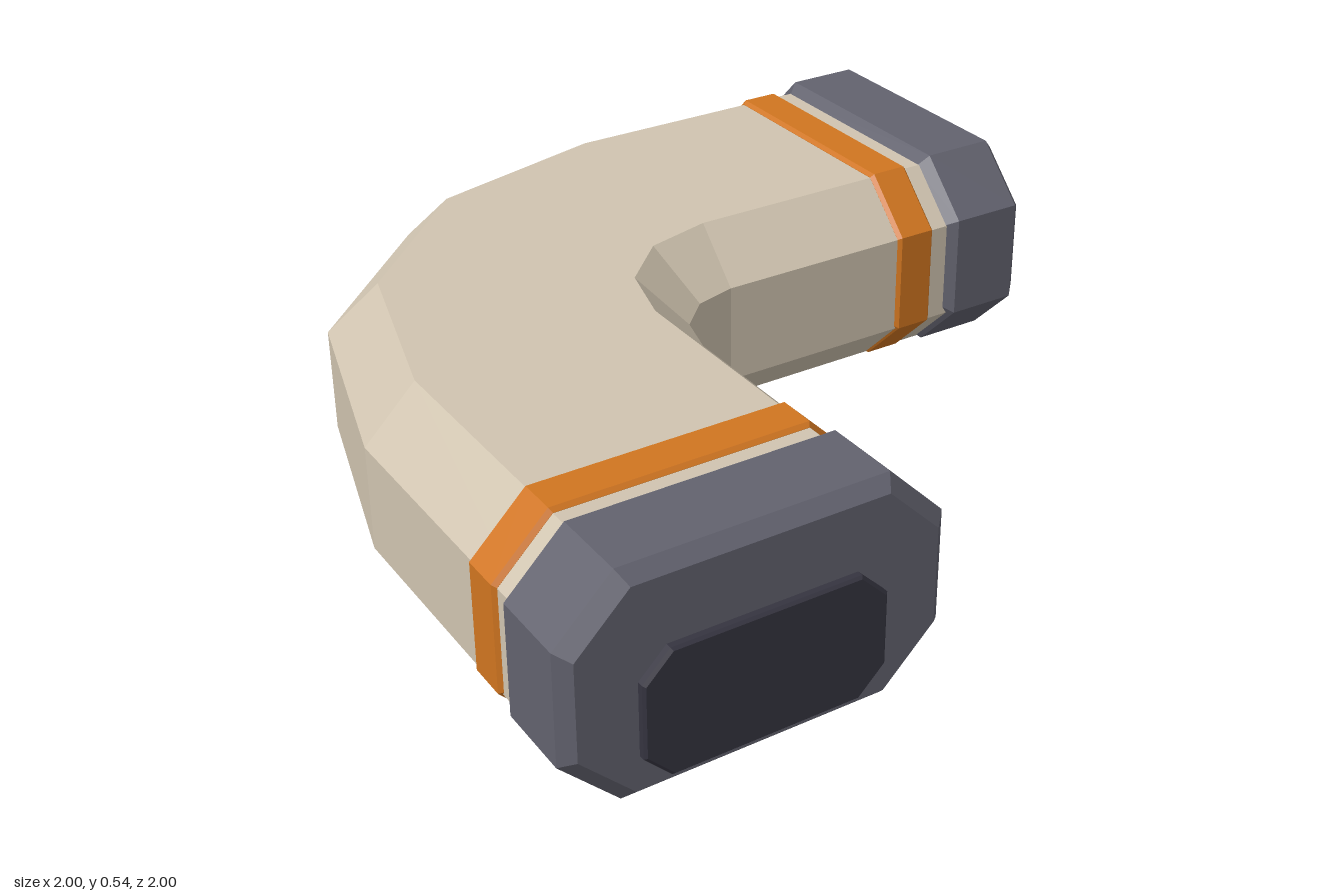
import * as THREE from 'three';

const mat = (name, color) => {
  const m = new THREE.MeshStandardMaterial({ color, flatShading: true });
  m.name = name;
  return m;
};

// Chamfered rectangle, counter-clockwise: half width w, bottom y0, top y1, corner c
function octagon(w, y0, y1, c) {
  return [
    [w - c, y0], [w, y0 + c], [w, y1 - c], [w - c, y1],
    [c - w, y1], [-w, y1 - c], [-w, y0 + c], [c - w, y0],
  ];
}

// Skin a list of rings (arrays of Vector3) and close both ends
function loft(rings) {
  const pos = [];
  const tri = (...pts) => pts.forEach((p) => pos.push(p.x, p.y, p.z));
  const n = rings[0].length;
  for (let i = 0; i + 1 < rings.length; i++) {
    const p = rings[i], q = rings[i + 1];
    for (let k = 0; k < n; k++) {
      const j = (k + 1) % n;
      tri(p[k], p[j], q[j]);
      tri(p[k], q[j], q[k]);
    }
  }
  const first = rings[0], last = rings[rings.length - 1];
  for (let k = 1; k + 1 < n; k++) {
    tri(first[0], first[k + 1], first[k]);
    tri(last[0], last[k], last[k + 1]);
  }
  const g = new THREE.BufferGeometry();
  g.setAttribute('position', new THREE.Float32BufferAttribute(pos, 3));
  g.computeVertexNormals();
  return g;
}

// Octagonal block along z with bevelled rims (b0 at the back, b1 at the front)
function block(w, y0, y1, c, z0, z1, b0, b1 = b0) {
  const ring = (inset, z) =>
    octagon(w - inset, y0 + inset, y1 - inset, c - inset * 0.4)
      .map(([u, y]) => new THREE.Vector3(u, y, z));
  return loft([ring(b0, z0), ring(0, z0 + b0), ring(0, z1 - b1), ring(b1, z1)]);
}

export function createModel() {
  const shell = mat('beige shell', 0xd0c4b0);
  const grey = mat('slate collar', 0x62626e);
  const orange = mat('orange band', 0xd07520);
  const dark = mat('dark opening', 0x353440);

  const model = new THREE.Group();
  model.name = 'elbowDuct';
  const add = (parent, name, geometry, material) => {
    const m = new THREE.Mesh(geometry, material);
    m.name = name;
    parent.add(m);
  };

  // Duct: straight, four-ring quarter bend, straight
  const C = 0.08, R = 0.635, END = 0.85;
  const profile = octagon(0.423, 0.003, 0.51, 0.126);
  const section = (deg, dx, dz) => {
    const a = THREE.MathUtils.degToRad(deg);
    return profile.map(([u, y]) => new THREE.Vector3(
      C - (R - u) * Math.cos(a) + dx, y, C - (R - u) * Math.sin(a) + dz));
  };
  const rings = [section(90, END - C, 0)];
  for (const deg of [90, 60, 30, 0]) rings.push(section(deg, 0, 0));
  rings.push(section(0, 0, END - C));
  add(model, 'duct', loft(rings), shell);

  // Matching fittings on both ends
  const band = block(0.432, 0.001, 0.52, 0.13, 0.585, 0.695, 0.009);
  const collar = block(0.445, 0, 0.535, 0.135, 0.735, 0.98, 0.03);
  const opening = block(0.282, 0.05, 0.35, 0.063, 0.97, 1, 0.006);
  for (const [name, x, z, turn] of [
    ['frontEnd', C - R, 0, 0],
    ['leftEnd', 0, C - R, Math.PI / 2],
  ]) {
    const end = new THREE.Group();
    end.name = name;
    end.position.set(x, 0, z);
    end.rotation.y = turn;
    add(end, 'band', band, orange);
    add(end, 'collar', collar, grey);
    add(end, 'opening', opening, dark);
    model.add(end);
  }
  return model;
}
